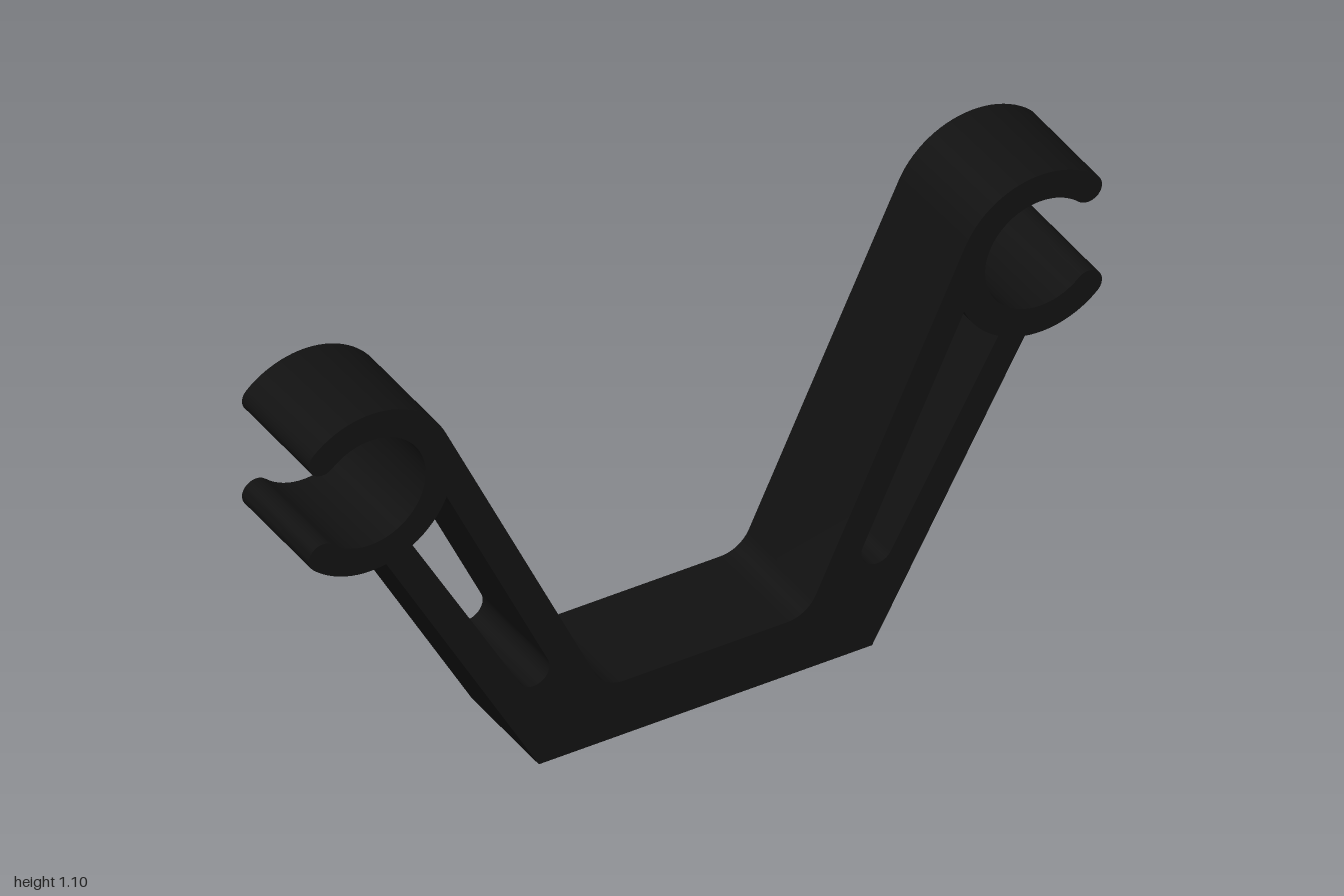
import * as THREE from 'three';
import { toCreasedNormals } from 'three/addons/utils/BufferGeometryUtils.js';

const DEPTH = 0.28;
const CLIP = [0.845, 0.89], OUTER = 0.21, INNER = 0.14, MOUTH = 46.7;
const HOLE_X = 0.35, HOLE_R = 0.032, HOLE_DEPTH = 0.1;

// Points along an arc, angles in degrees
function arc([cx, cy], r, from, to, n) {
  return Array.from({ length: n + 1 }, (_, i) => {
    const a = THREE.MathUtils.degToRad(from + (to - from) * i / n);
    return new THREE.Vector2(cx + r * Math.cos(a), cy + r * Math.sin(a));
  });
}

// Centre of the rounded lip at the given angle around the clip
const lip = (deg) => arc(CLIP, (OUTER + INNER) / 2, deg, deg, 1)[0].toArray();
const mirror = (points) => points.map((p) => new THREE.Vector2(-p.x, p.y)).reverse();

// Outline of one half: foot corner, open clip ring, arm, fillet to the base
function halfOutline() {
  return [
    new THREE.Vector2(0.42, 0),
    ...arc(CLIP, OUTER, 259, 360 - MOUTH, 14),
    ...arc(lip(-MOUTH), 0.035, -MOUTH, 180 - MOUTH, 12).slice(1),
    ...arc(CLIP, INNER, 360 - MOUTH, MOUTH, 48).slice(1),
    ...arc(lip(MOUTH), 0.035, 180 + MOUTH, 360 + MOUTH, 12).slice(1),
    ...arc(CLIP, OUTER, MOUTH, 154.5, 24).slice(1),
    ...arc([0.206, 0.223], 0.08, -25.5, -90, 10),
  ];
}

// Slot between the two struts, closed at the top by the ring
function slotOutline() {
  return [
    ...arc([0.433, 0.255], 0.04, 154.5, 330, 14),
    ...arc(CLIP, OUTER, 239.5, 203.4, 8),
  ];
}

// Extruded bracket, with the underside left open for the drilled plate
function bracketGeometry() {
  const half = halfOutline();
  const shape = new THREE.Shape([...half, ...mirror(half)]);
  const slot = slotOutline();
  shape.holes.push(new THREE.Path(slot), new THREE.Path(mirror(slot)));
  const solid = new THREE.ExtrudeGeometry(shape, { depth: DEPTH, bevelEnabled: false });
  solid.translate(0, 0, -DEPTH / 2);
  const p = solid.attributes.position, kept = [];
  for (let i = 0; i < p.count; i += 3) {
    if ([0, 1, 2].every((k) => Math.abs(p.getY(i + k)) < 1e-5)) continue;
    for (let k = 0; k < 3; k++) kept.push(p.getX(i + k), p.getY(i + k), p.getZ(i + k));
  }
  const open = new THREE.BufferGeometry();
  open.setAttribute('position', new THREE.Float32BufferAttribute(kept, 3));
  return toCreasedNormals(open, Math.PI / 6);
}

export function createModel() {
  const group = new THREE.Group();
  group.name = 'twinClipBracket';
  const material = new THREE.MeshStandardMaterial({ color: 0x111111 });
  const inside = new THREE.MeshStandardMaterial({ color: 0x111111, side: THREE.BackSide });
  const add = (geometry, name, mat = material) => {
    const mesh = new THREE.Mesh(geometry, mat);
    mesh.name = name;
    group.add(mesh);
    return mesh;
  };

  add(bracketGeometry(), 'bracket');

  // Underside with two mounting holes
  const w = 0.42, d = DEPTH / 2;
  const plate = new THREE.Shape([[-w, -d], [w, -d], [w, d], [-w, d]].map((c) => new THREE.Vector2(...c)));
  for (const s of [-1, 1]) plate.holes.push(new THREE.Path(arc([s * HOLE_X, 0], HOLE_R, 0, 345, 23)));
  add(new THREE.ShapeGeometry(plate).rotateX(Math.PI / 2), 'underside');

  // Blind walls and ends of the mounting holes
  for (const s of [-1, 1]) {
    const side = s > 0 ? 'left' : 'right';
    add(new THREE.CylinderGeometry(HOLE_R, HOLE_R, HOLE_DEPTH, 24, 1, true), side + 'HoleWall', inside)
      .position.set(s * HOLE_X, HOLE_DEPTH / 2, 0);
    add(new THREE.CircleGeometry(HOLE_R, 24).rotateX(Math.PI / 2), side + 'HoleEnd')
      .position.set(s * HOLE_X, HOLE_DEPTH, 0);
  }
  return group;
}
